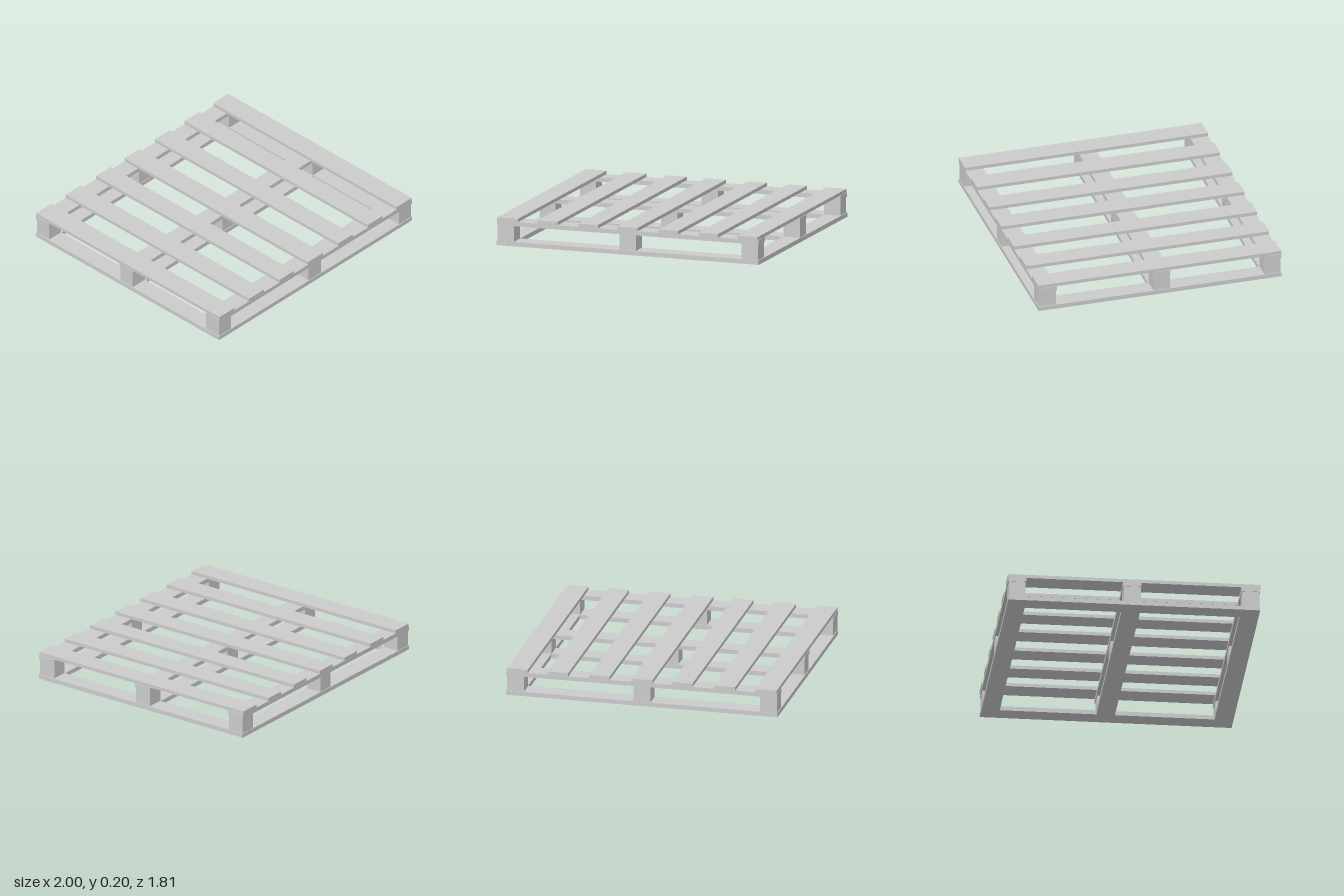
import * as THREE from 'three';

export function createModel() {
  const pallet = new THREE.Group();
  pallet.name = 'pallet';
  const wood = new THREE.MeshStandardMaterial({ color: 0xcccccc, flatShading: true });

  // Board given by its low and high limits on each axis
  function board(name, [x0, x1], [y0, y1], [z0, z1]) {
    const mesh = new THREE.Mesh(new THREE.BoxGeometry(x1 - x0, y1 - y0, z1 - z0), wood);
    mesh.position.set((x0 + x1) / 2, (y0 + y1) / 2, (z0 + z1) / 2);
    mesh.name = name;
    pallet.add(mesh);
  }

  const bottomY = [0, 0.032];
  const blockY = [0.032, 0.147];
  const stringerY = [0.147, 0.178];
  const deckY = [0.178, 0.203];
  const rows = [[-0.905, -0.775], [-0.08, 0.053], [0.77, 0.905]];
  const blockX = [[-0.995, -0.87], [-0.065, 0.06], [0.868, 0.993]];

  // Three rows across: bottom runner, blocks and stringer board
  for (const [z0, z1] of rows) {
    board('bottomRunner', [-1, 1], bottomY, [z0, z1]);
    board('stringerBoard', [-0.998, 0.998], stringerY, [z0, z1]);
    for (const x of blockX) board('block', x, blockY, [z0 + 0.005, z1 - 0.005]);
  }

  // Bottom side boards fill the gaps between the runners
  for (const x of [[-1, -0.87], [0.87, 1]]) {
    for (let i = 0; i < 2; i++) board('bottomSideBoard', x, bottomY, [rows[i][1], rows[i + 1][0]]);
  }

  // Deck slats run front to back, the outer two slightly wider
  const slats = [[-0.995, -0.838], [-0.69, -0.535], [-0.375, -0.225], [-0.08, 0.075],
    [0.235, 0.385], [0.54, 0.69], [0.838, 0.993]];
  for (const x of slats) board('deckSlat', x, deckY, [-0.907, 0.907]);

  return pallet;
}
